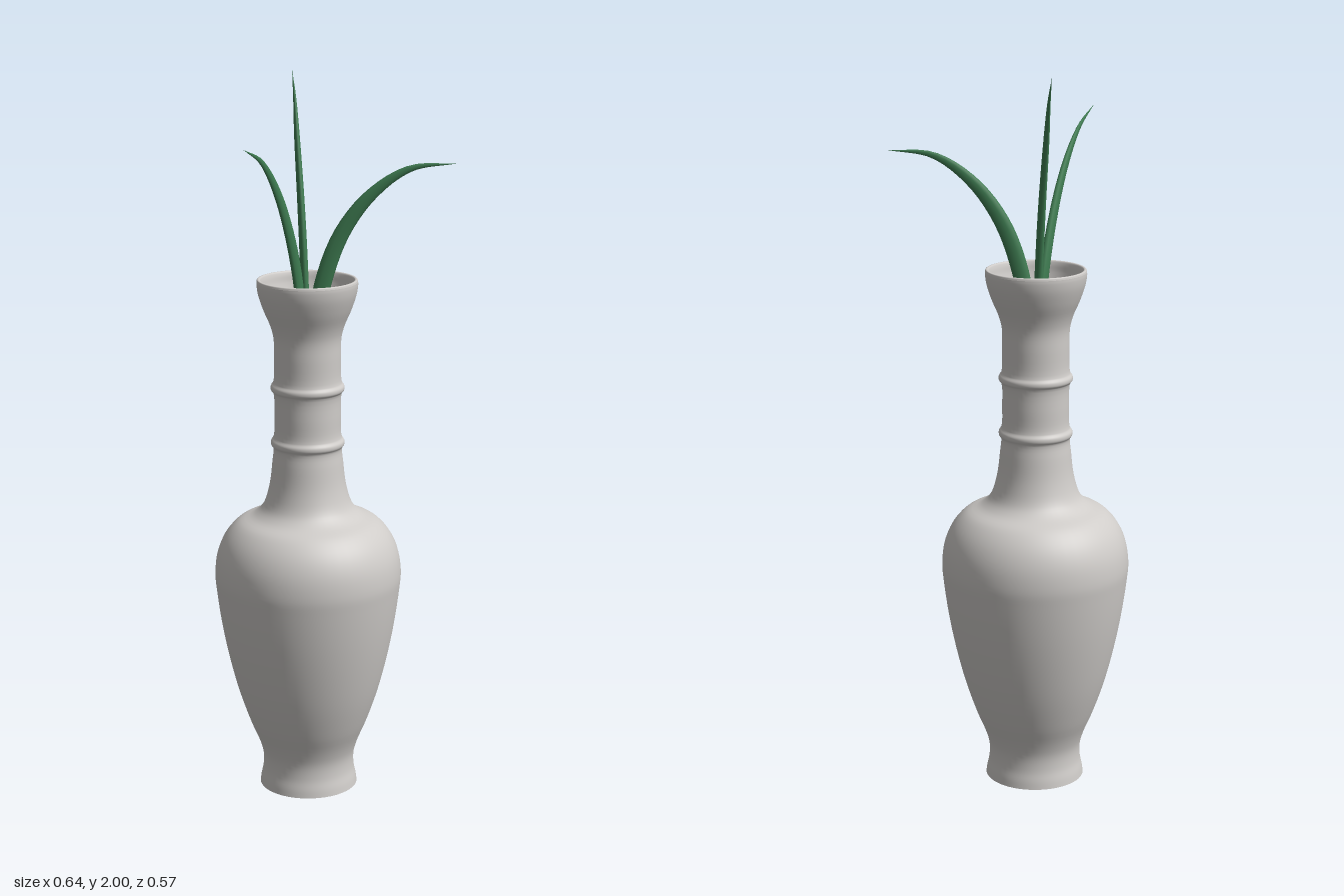
import * as THREE from 'three';

const CX = -0.063, CZ = -0.028; // vase axis

// Smooth lathe surface through [radius, height] points
function lathe(points, divisions, mat, name) {
  const curve = new THREE.CatmullRomCurve3(points.map(([r, y]) => new THREE.Vector3(r, y, 0)));
  const profile = curve.getPoints(divisions).map(p => new THREE.Vector2(Math.max(p.x, 0), p.y));
  const mesh = new THREE.Mesh(new THREE.LatheGeometry(profile, 48), mat);
  mesh.name = name;
  mesh.position.set(CX, 0, CZ);
  return mesh;
}

// Curved tapering blade: elliptical rings, deep in the plane of the bend
function blade(points, depth, thickness, mat, name) {
  const curve = new THREE.CatmullRomCurve3(points.map(p => new THREE.Vector3(...p)));
  const rings = 28, sides = 10, pos = [], index = [];
  const a = points[0], b = points[points.length - 1];
  const S = new THREE.Vector3(b[2] - a[2], 0, a[0] - b[0]).normalize();
  for (let i = 0; i <= rings; i++) {
    const t = i / rings;
    const P = curve.getPoint(t);
    const N = S.clone().cross(curve.getTangent(t)).normalize();
    const w = i === 0 ? 0.05 : Math.max(Math.sin(Math.PI * (0.25 + 0.75 * t)), 0.01);
    for (let j = 0; j < sides; j++) {
      const ang = j / sides * Math.PI * 2;
      const v = P.clone()
        .addScaledVector(N, Math.cos(ang) * depth * w)
        .addScaledVector(S, Math.sin(ang) * thickness * w);
      pos.push(v.x, v.y, v.z);
      if (i < rings) {
        const k = (j + 1) % sides, r0 = i * sides, r1 = r0 + sides;
        index.push(r0 + j, r0 + k, r1 + k, r0 + j, r1 + k, r1 + j);
      }
    }
  }
  const geo = new THREE.BufferGeometry();
  geo.setAttribute('position', new THREE.Float32BufferAttribute(pos, 3));
  geo.setIndex(index);
  geo.computeVertexNormals();
  const mesh = new THREE.Mesh(geo, mat);
  mesh.name = name;
  return mesh;
}

export function createModel() {
  const ceramic = new THREE.MeshStandardMaterial({ color: 0xcfccc9 });
  ceramic.name = 'ceramic';
  const green = new THREE.MeshStandardMaterial({ color: 0x3f7d52 });
  green.name = 'leaf green';
  const aqua = new THREE.MeshStandardMaterial({ color: 0xb0d2d2 });
  aqua.name = 'water';

  const group = new THREE.Group();
  group.name = 'vaseWithLeaves';

  // Outer wall: foot, belly, shoulder, beaded neck, flared mouth
  group.add(lathe([
    [0.138, 0], [0.135, 0.02], [0.129, 0.05], [0.129, 0.09], [0.14, 0.13], [0.165, 0.19],
    [0.196, 0.28], [0.222, 0.38], [0.242, 0.48], [0.256, 0.58], [0.26, 0.63], [0.252, 0.69],
    [0.23, 0.74], [0.195, 0.778], [0.15, 0.8], [0.125, 0.825], [0.107, 0.88], [0.098, 0.95],
    [0.095, 0.99], [0.101, 1.0], [0.101, 1.01], [0.094, 1.022], [0.092, 1.08], [0.094, 1.145],
    [0.101, 1.155], [0.101, 1.165], [0.094, 1.177], [0.092, 1.25], [0.093, 1.3], [0.102, 1.335],
    [0.121, 1.38], [0.134, 1.42], [0.138, 1.445], [0.138, 1.455],
  ], 140, ceramic, 'vaseWall'));

  // Rim rolling into the inner throat
  group.add(lathe([
    [0.138, 1.455], [0.136, 1.461], [0.13, 1.461], [0.126, 1.452], [0.122, 1.43], [0.108, 1.385],
    [0.088, 1.34], [0.077, 1.3], [0.075, 1.25], [0.075, 1.1], [0.078, 0.95],
  ], 50, ceramic, 'innerThroat'));

  // Recessed underside inside the foot ring
  const base = new THREE.Mesh(new THREE.LatheGeometry([
    [0, 0.025], [0.118, 0.025], [0.118, 0.025], [0.126, 0], [0.126, 0], [0.138, 0],
  ].map(p => new THREE.Vector2(...p)), 48), ceramic);
  base.name = 'footUnderside';
  base.position.set(CX, 0, CZ);
  group.add(base);

  // Water surface in the neck
  const water = new THREE.Mesh(new THREE.CircleGeometry(0.077, 48).rotateX(-Math.PI / 2), aqua);
  water.name = 'waterSurface';
  water.position.set(CX, 1.15, CZ);
  group.add(water);

  // Three arching leaves
  group.add(
    blade([[-0.052, 1.17, -0.022], [-0.045, 1.32, -0.018], [-0.022, 1.46, -0.008], [0.025, 1.59, 0.007],
      [0.1, 1.695, 0.031], [0.2, 1.765, 0.06], [0.318, 1.778, 0.09]], 0.023, 0.0105, green, 'rightLeaf'),
    blade([[-0.072, 1.17, -0.02], [-0.08, 1.32, -0.014], [-0.096, 1.46, 0.004], [-0.13, 1.6, 0.05],
      [-0.175, 1.72, 0.108], [-0.23, 1.81, 0.18], [-0.3, 1.86, 0.285]], 0.022, 0.0105, green, 'frontLeaf'),
    blade([[-0.063, 1.17, -0.036], [-0.063, 1.32, -0.043], [-0.064, 1.46, -0.057], [-0.063, 1.65, -0.098],
      [-0.059, 1.83, -0.162], [-0.053, 1.93, -0.214], [-0.047, 2.0, -0.27]], 0.023, 0.0105, green, 'backLeaf'),
  );
  return group;
}
